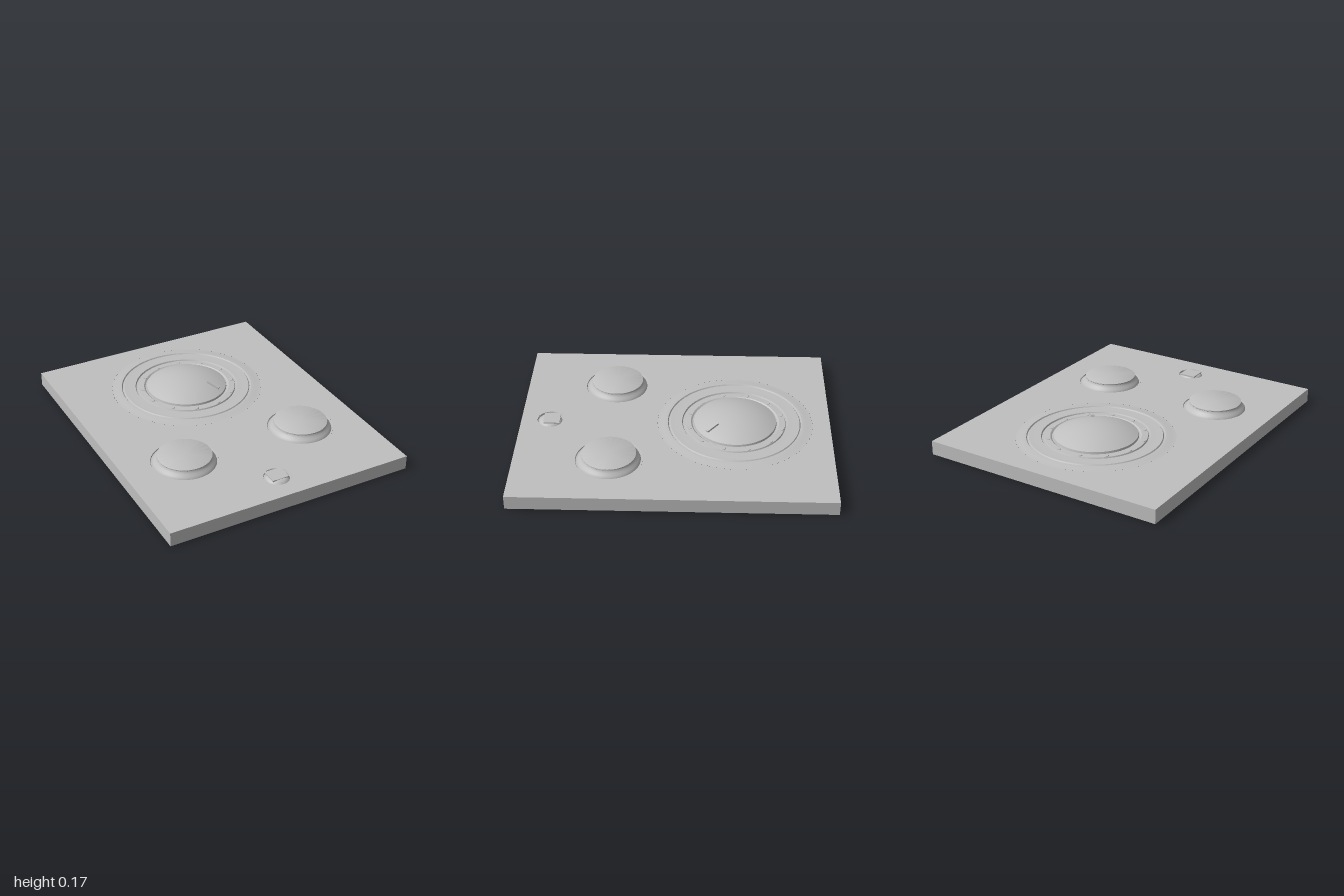
import * as THREE from 'three';
import { toCreasedNormals } from 'three/addons/utils/BufferGeometryUtils.js';

const W = 0.806, L = 1, TOP = 0.09, SEG = 64;
const KNOB_Z = -0.386, BUTTON_X = 0.412, BUTTON_Z = 0.4, LAMP_Z = 0.81;

export function createModel() {
  const grey = new THREE.MeshStandardMaterial({ name: 'panelGrey', color: 0xbfbfbf });
  const group = new THREE.Group();
  group.name = 'controlPanel';

  const add = (name, geometry, x = 0, y = 0, z = 0, parent = group) => {
    const mesh = new THREE.Mesh(geometry, grey);
    mesh.name = name;
    mesh.position.set(x, y, z);
    parent.add(mesh);
    return mesh;
  };
  // Turned surface from [radius, height] pairs
  const turned = (points) => toCreasedNormals(
    new THREE.LatheGeometry(points.map(([r, y]) => new THREE.Vector2(r, y)), SEG), 0.55);

  // Flat rectangle pierced by round holes [x, z, radius]
  const face = (holes) => {
    const s = new THREE.Shape();
    s.moveTo(-W, -L).lineTo(W, -L).lineTo(W, L).lineTo(-W, L).closePath();
    for (const [x, z, r] of holes) {
      const hole = new THREE.Path();
      hole.absarc(x, -z, r, 0, Math.PI * 2, true);
      s.holes.push(hole);
    }
    return new THREE.ShapeGeometry(s, SEG);
  };

  // Slab: top, bottom and four edges
  const top = face([[0, KNOB_Z, 0.5], [BUTTON_X, BUTTON_Z, 0.21],
    [-BUTTON_X, BUTTON_Z, 0.21], [0, LAMP_Z, 0.085]]);
  add('slabTop', top.rotateX(-Math.PI / 2), 0, TOP, 0);
  const bottom = face([[0, -KNOB_Z, 0.28]]);
  add('slabBottom', bottom.rotateX(Math.PI / 2));
  for (let i = 0; i < 4; i++) {
    const across = i % 2 === 0;
    const edge = new THREE.PlaneGeometry(across ? W * 2 : L * 2, TOP);
    edge.translate(0, TOP / 2, across ? L : W).rotateY(i * Math.PI / 2);
    add('slabEdge', edge);
  }

  // Shallow recess under the dial
  add('undersideRecess', turned([[0, 0.022], [0.15, 0.022], [0.18, 0.019], [0.21, 0.01],
    [0.245, 0.003], [0.28, 0]]), 0, 0, KNOB_Z);

  // Dial: swollen surround, two grooves, collar and dome
  const dial = new THREE.Group();
  dial.name = 'dial';
  dial.position.z = KNOB_Z;
  group.add(dial);
  add('dialSurround', turned([[0.5, 0.09], [0.47, 0.0925], [0.45, 0.0965], [0.434, 0.097],
    [0.429, 0.09], [0.423, 0.09], [0.418, 0.0965], [0.38, 0.0955], [0.342, 0.0965],
    [0.337, 0.088], [0.328, 0.088]]), 0, 0, 0, dial);
  add('dialCollar', turned([[0.328, 0.088], [0.324, 0.096], [0.285, 0.098],
    [0.275, 0.09], [0.268, 0.09]]), 0, 0, 0, dial);
  const dome = [[0.268, 0.09], [0.265, 0.103]];
  for (let i = 1; i <= 12; i++) {
    const r = 0.265 * (1 - i / 12);
    dome.push([r, 0.103 + 0.062 * (1 - (r / 0.265) ** 2)]);
  }
  add('dialDome', turned(dome), 0, 0, 0, dial);

  // Low pads around the collar
  for (let i = 0; i < 12; i++) {
    const a = (i + 0.5) * Math.PI / 6;
    add('collarPad', new THREE.CylinderGeometry(0.017, 0.019, 0.004, 16),
      Math.sin(a) * 0.304, 0.098, Math.cos(a) * 0.304, dial);
  }

  // Pointer mark lying on the dome
  const pointer = add('pointer', new THREE.BoxGeometry(0.024, 0.012, 0.09), 0.127, 0.139, 0.148, dial);
  pointer.rotation.set(0.34, Math.atan2(0.055, 0.075), 0, 'YXZ');

  // Two push buttons, mirrored
  for (const side of [-1, 1]) {
    add(side > 0 ? 'leftButton' : 'rightButton', turned([[0.21, 0.09], [0.207, 0.084],
      [0.198, 0.084], [0.195, 0.092], [0.187, 0.1], [0.177, 0.112], [0.169, 0.122],
      [0.168, 0.126], [0.17, 0.128], [0.17, 0.134], [0.166, 0.136], [0, 0.136]]),
    side * BUTTON_X, 0, BUTTON_Z);
  }

  // Small lamp: round socket, low mound and square lens
  add('lampSocket', turned([[0.085, 0.09], [0.082, 0.08], [0.074, 0.08], [0.068, 0.088],
    [0.058, 0.095], [0.045, 0.098], [0, 0.098]]), 0, 0, LAMP_Z);
  add('lampLens', new THREE.BoxGeometry(0.11, 0.009, 0.104), 0, 0.0965, LAMP_Z - 0.01);

  return group;
}
